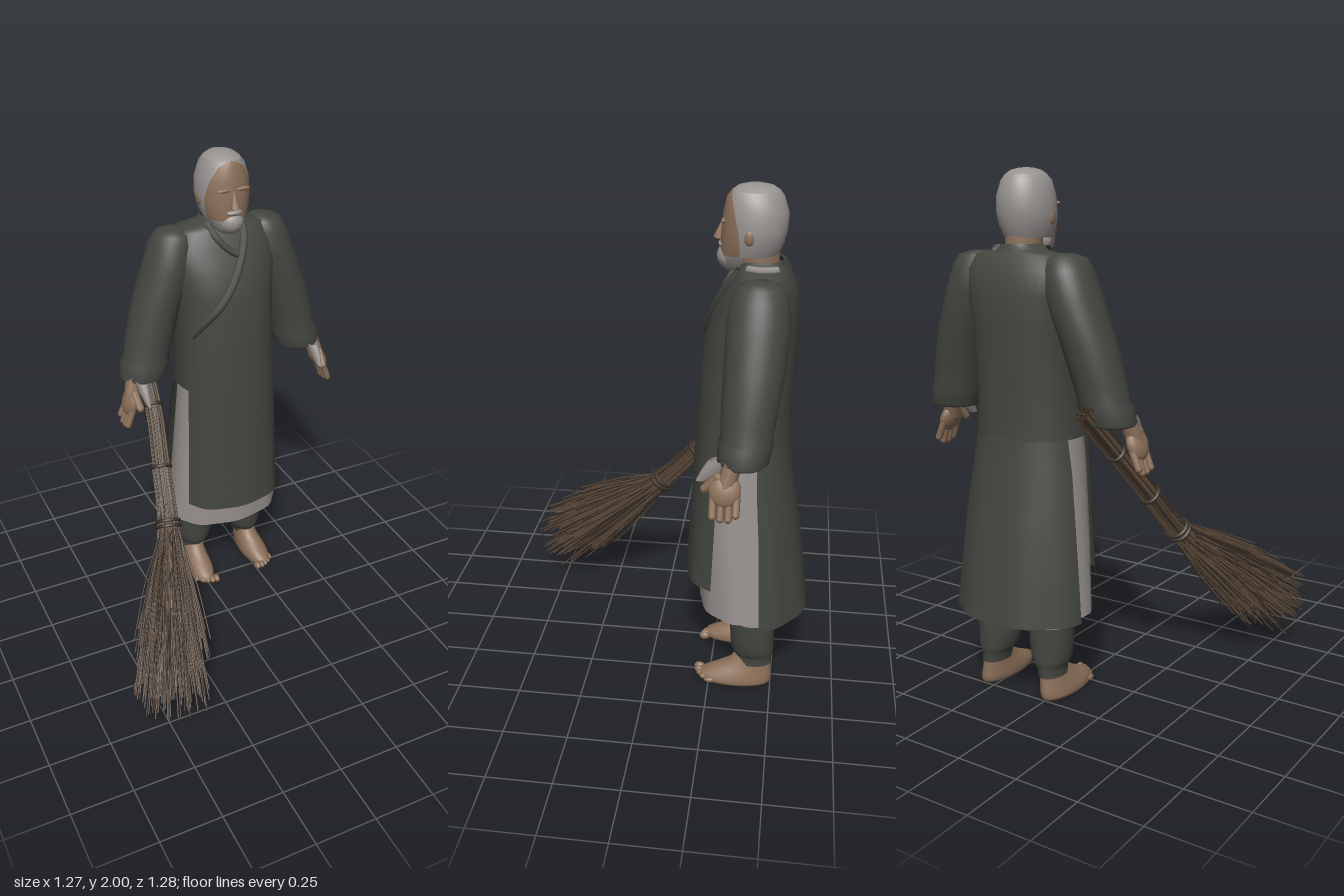
import * as THREE from 'three';
import { mergeGeometries } from 'three/addons/utils/BufferGeometryUtils.js';

const paint = (name, color, side = THREE.FrontSide) =>
  Object.assign(new THREE.MeshStandardMaterial({ color, side }), { name });
const V = (x, y, z) => new THREE.Vector3(x, y, z);

// Horizontal cross-sections, top to bottom: [y, centreX, halfWidth, zFront, zBack].
// from and to are angles in degrees, either one for all rows or one per row.
function loft(rows, { from = 0, to = 360, n = 36, p = 2, ripple = 0, waves = 9 } = {}) {
  const closed = to - from === 360, cols = closed ? n : n + 1, pos = [], idx = [];
  const bend = v => Math.sign(v) * Math.abs(v) ** (2 / p);
  rows.forEach(([y, cx, rx, zf, zb], i) => {
    const a = from[i] ?? from, b = to[i] ?? to;
    for (let j = 0; j < cols; j++) {
      const t = THREE.MathUtils.degToRad(a + (b - a) * j / n);
      const k = 1 + ripple * (i / (rows.length - 1)) ** 2 * Math.sin(waves * t);
      pos.push(cx + rx * k * bend(Math.cos(t)), y, (zf + zb) / 2 + (zf - zb) / 2 * k * bend(Math.sin(t)));
    }
  });
  for (let i = 0; i < rows.length - 1; i++) for (let j = 0; j < n; j++) {
    const a = i * cols + j, b = i * cols + (j + 1) % cols;
    idx.push(a, b, a + cols, b, b + cols, a + cols);
  }
  const g = new THREE.BufferGeometry();
  g.setAttribute('position', new THREE.Float32BufferAttribute(pos, 3));
  g.setIndex(idx);
  g.computeVertexNormals();
  return g;
}

const TORSO = [
  [1.73, 0, 0.07, -0.325, -0.47], [1.705, 0, 0.1, -0.315, -0.48], [1.69, 0, 0.2, -0.305, -0.495],
  [1.64, 0, 0.235, -0.275, -0.525], [1.55, 0, 0.23, -0.23, -0.54], [1.43, 0, 0.21, -0.19, -0.542],
  [1.2, 0, 0.208, -0.175, -0.527], [1.02, 0, 0.215, -0.165, -0.533],
];
// Front of the chest at a given x and y
function chest(x, y) {
  const i = Math.max(1, TORSO.findIndex(r => r[0] <= y)), a = TORSO[i - 1], b = TORSO[i];
  const t = (a[0] - y) / (a[0] - b[0]);
  const [, , rx, zf, zb] = a.map((v, k) => v + (b[k] - v) * t);
  return V(x, y, (zf + zb) / 2 + (zf - zb) / 2 * (1 - Math.min(1, Math.abs(x) / rx) ** 2.3) ** (1 / 2.3));
}

export function createModel() {
  const coat = paint('dark coat cloth', 0x444640, THREE.DoubleSide);
  const robe = paint('pale grey cloth', 0x98928f, THREE.DoubleSide);
  const skin = paint('skin', 0x8c705a);
  const hair = paint('grey hair', 0x979391);
  const straw = paint('brown straw', 0x695341);
  const darkStraw = paint('dark straw', 0x3b3128);

  const model = new THREE.Group(), figure = new THREE.Group();
  model.name = 'sweeper';
  figure.name = 'figure';
  figure.position.x = 0.147;
  model.add(figure);
  const add = (name, geo, mat, parent = figure) => {
    const m = new THREE.Mesh(geo, mat);
    m.name = name;
    parent.add(m);
    return m;
  };
  const ball = (name, mat, at, size) => {
    const m = add(name, new THREE.SphereGeometry(1, 18, 12), mat);
    m.position.set(...at);
    m.scale.set(...size);
    return m;
  };
  const limb = (name, mat, a, b, r) => {
    const d = b.clone().sub(a);
    const m = add(name, new THREE.CapsuleGeometry(r, d.length(), 4, 8), mat);
    m.position.copy(a).add(b).multiplyScalar(0.5);
    m.quaternion.setFromUnitVectors(V(0, 1, 0), d.normalize());
    return m;
  };

  // Head: one skull shape split along a curved hairline
  const skull = [[1.975, 0, 0.072, -0.28, -0.45], [1.955, 0, 0.088, -0.262, -0.465], [1.9, 0, 0.105, -0.25, -0.483],
    [1.84, 0, 0.109, -0.245, -0.481], [1.79, 0, 0.102, -0.242, -0.47], [1.75, 0, 0.086, -0.242, -0.452]];
  const hairline = [78, 52, 37, 26, 20, 18];
  add('crown', loft([[2, 0, 0.001, -0.359, -0.361], [1.998, 0, 0.025, -0.33, -0.395],
    [1.99, 0, 0.052, -0.3, -0.428], skull[0]]), hair);
  add('face', loft(skull, { from: hairline, to: hairline.map(a => 180 - a) }), skin);
  add('backHair', loft(skull, { from: hairline.map(a => 180 - a), to: hairline.map(a => 360 + a) }), hair);
  add('jawBeard', loft([[1.75, 0, 0.086, -0.242, -0.452], [1.715, 0, 0.068, -0.245, -0.42],
    [1.69, 0, 0.04, -0.262, -0.38], [1.685, 0, 0.001, -0.31, -0.312]], { from: 10, to: 170 }), hair);
  add('neck', loft([[1.78, 0, 0.068, -0.31, -0.455], [1.6, 0, 0.065, -0.32, -0.46]]), skin);
  ball('beard', hair, [0, 1.738, -0.285], [0.053, 0.052, 0.056]);
  ball('moustache', hair, [0, 1.782, -0.25], [0.034, 0.012, 0.016]);
  const nose = add('nose', new THREE.ConeGeometry(0.02, 0.075, 10), skin);
  nose.position.set(0, 1.838, -0.243);
  nose.rotation.x = -0.2;
  for (const s of [-1, 1]) {
    ball('ear', skin, [s * 0.102, 1.825, -0.35], [0.011, 0.028, 0.018]);
    ball('brow', skin, [s * 0.04, 1.873, -0.255], [0.032, 0.008, 0.01]);
  }

  // Coat body, split into front and back panels below the hips
  add('coatBody', loft(TORSO, { p: 2.3 }), coat);
  add('frontPanel', loft([[1.03, 0, 0.215, -0.165, -0.533], [0.85, 0, 0.22, -0.158, -0.53],
    [0.6, 0, 0.228, -0.147, -0.53], [0.45, 0, 0.234, -0.14, -0.53]],
  { from: 22, to: 158, p: 2.3, ripple: 0.015 }), coat);
  add('backPanel', loft([[1.03, 0, 0.215, -0.165, -0.533], [0.9, 0, 0.238, -0.155, -0.545],
    [0.7, 0, 0.264, -0.13, -0.58], [0.5, 0, 0.285, -0.1, -0.608], [0.33, 0, 0.3, -0.075, -0.63]],
  { from: 198, to: 342, p: 2.2, ripple: 0.015 }), coat);
  add('innerRobe', loft([[1.12, 0, 0.19, -0.19, -0.51], [0.9, 0, 0.212, -0.185, -0.515],
    [0.6, 0, 0.235, -0.185, -0.54], [0.33, 0, 0.255, -0.195, -0.575]], { p: 2.2, ripple: 0.02 }), robe);
  // Pale lining showing at the left of the neck
  const lining = add('collarLining', new THREE.TorusGeometry(0.086, 0.014, 6, 14, 1.3), robe);
  lining.rotation.set(Math.PI / 2, 0, -0.65);
  lining.position.set(0.012, 1.71, -0.4);

  // Crossing lapels lying on the chest
  const lapel = (name, pts, r) => add(name, new THREE.TubeGeometry(
    new THREE.CatmullRomCurve3(pts.map(([x, y]) => chest(x, y))), 30, r, 8), coat);
  lapel('outerLapel', [[0.07, 1.7], [0.06, 1.65], [0, 1.53], [-0.08, 1.42], [-0.14, 1.35], [-0.185, 1.28]], 0.018);
  lapel('underLapel', [[-0.07, 1.71], [-0.055, 1.67], [-0.01, 1.62], [0.025, 1.6]], 0.015);

  for (const s of [-1, 1]) {
    // Sleeve with a turned cuff and a pale lining in its mouth
    const side = rows => rows.map(([y, x, ...r]) => [y, s * x, ...r]);
    add('sleeve', loft(side([[1.7, 0.195, 0.001, -0.399, -0.401], [1.698, 0.195, 0.04, -0.36, -0.44],
      [1.685, 0.2, 0.072, -0.325, -0.475], [1.645, 0.208, 0.09, -0.3, -0.5],
      [1.55, 0.228, 0.104, -0.285, -0.51], [1.4, 0.285, 0.102, -0.285, -0.5], [1.25, 0.326, 0.1, -0.282, -0.48],
      [1.18, 0.343, 0.095, -0.285, -0.47], [1.165, 0.348, 0.103, -0.277, -0.473], [1.1, 0.364, 0.1, -0.275, -0.462],
      [1.09, 0.366, 0.09, -0.285, -0.452]])), coat);
    add('sleeveLining', loft(side([[1.09, 0.366, 0.09, -0.285, -0.452], [1.115, 0.37, 0.001, -0.36, -0.361]])), robe);
    add('innerCuff', loft(side([[1.11, 0.4, 0.026, -0.25, -0.34], [1.07, 0.402, 0.02, -0.225, -0.31],
      [1.025, 0.4, 0.008, -0.205, -0.245]]), { n: 16 }), robe);

    // Hand
    const wrist = V(s * 0.415, 1.12, -0.34), palm = V(s * 0.437, 1.03, -0.315);
    limb('wrist', skin, wrist, palm, 0.034);
    const p = ball('palm', skin, [s * 0.445, 1.015, -0.312], [0.029, 0.062, 0.058]);
    p.rotation.z = s * 0.35;
    [-0.272, -0.3, -0.328, -0.354].forEach((z, i) => {
      const tip = [0.925, 0.917, 0.917, 0.935][i];
      limb('finger', skin, V(s * 0.45, 0.995, z), V(s * 0.476, tip, z), 0.0145);
    });
    limb('thumb', skin, V(s * 0.435, 1.06, -0.285), V(s * 0.43, 1.01, -0.24), 0.016);

    // Gathered trousers and bare foot
    const leg = (name, mat, rows) => add(name, loft(rows.map(([y, ...r]) => [y, s * (0.126 + Math.max(0, 0.2 - y) * 0.11), ...r]),
      { n: 24 }), mat);
    leg('trouserTop', robe, [[0.6, 0.095, -0.3, -0.51], [0.295, 0.09, -0.325, -0.505]]);
    leg('trouserLeg', coat, [[0.295, 0.09, -0.325, -0.505], [0.22, 0.086, -0.33, -0.505], [0.16, 0.076, -0.335, -0.508],
      [0.135, 0.06, -0.345, -0.505], [0.12, 0.05, -0.355, -0.5], [0.09, 0.05, -0.355, -0.5]]);
    leg('foot', skin, [[0.13, 0.044, -0.36, -0.495], [0.09, 0.047, -0.33, -0.498], [0.06, 0.053, -0.27, -0.5],
      [0.035, 0.06, -0.215, -0.503], [0.012, 0.062, -0.205, -0.503], [0, 0.057, -0.21, -0.495], [0, 0.001, -0.35, -0.352]]);
    for (let i = 0; i < 5; i++) {
      const r = 0.017 - i * 0.0015;
      ball('toe', skin, [s * (0.108 + i * 0.021), r, -0.207 - i * i * 0.003], [r * 0.85, r, 0.022]);
    }
  }

  // Broom: bound stalks that fan out into loose straw
  const broom = new THREE.Group();
  broom.name = 'broom';
  model.add(broom);
  const spine = [V(-0.18, 1.15, -0.49), V(-0.205, 0.95, -0.29), V(-0.245, 0.77, -0.13), V(-0.285, 0.59, 0.03)];
  const dir = V(-0.2, -0.41, 0.48).normalize();
  const across = V(0, 1, 0).cross(dir).normalize(), up = dir.clone().cross(across);
  let seed = 11;
  const rnd = () => (seed = (seed * 16807) % 2147483647) / 2147483647;
  const strands = [[], []];
  for (let i = 0; i < 420; i++) {
    const a = rnd() * Math.PI * 2, q = Math.sqrt(rnd());
    const off = across.clone().multiplyScalar(Math.cos(a) * q).addScaledVector(up, Math.sin(a) * q);
    const len = 0.42 + 0.35 * rnd() * (1.1 - 0.25 * q);
    const base = spine[3], wob = V(rnd() - 0.5, rnd() - 0.5, rnd() - 0.5).multiplyScalar(0.05);
    const pts = i % 3 ? [] : spine.slice(0, 2).map(v => v.clone().addScaledVector(off, 0.036));
    pts.push(spine[2].clone().addScaledVector(off, 0.038), base.clone().addScaledVector(off, 0.044),
      base.clone().addScaledVector(dir, len * 0.5).addScaledVector(off, 0.09).add(wob),
      base.clone().addScaledVector(dir, len).addScaledVector(off, 0.15).addScaledVector(wob, 0.8));
    const segs = pts.length * 2;
    strands[i % 5 < 3 ? 0 : 1].push(new THREE.TubeGeometry(new THREE.CatmullRomCurve3(pts), segs, 0.003, 3));
  }
  add('brownStraw', mergeGeometries(strands[0]), straw, broom);
  add('darkStraw', mergeGeometries(strands[1]), darkStraw, broom);
  add('stalkCore', new THREE.TubeGeometry(new THREE.CatmullRomCurve3(spine), 20, 0.031, 10), straw, broom);
  const core = add('fanCore', new THREE.CylinderGeometry(0.068, 0.033, 0.36, 12), straw, broom);
  core.position.copy(spine[3]).addScaledVector(dir, 0.17);
  core.quaternion.setFromUnitVectors(V(0, 1, 0), dir);
  const path = new THREE.CatmullRomCurve3(spine);
  for (const [t, r] of [[0.3, 0.035], [0.66, 0.039], [0.97, 0.045], [1, 0.047]]) {
    const ring = add('binding', new THREE.TorusGeometry(r, 0.008, 6, 20), darkStraw, broom);
    ring.position.copy(path.getPoint(t));
    ring.quaternion.setFromUnitVectors(V(0, 0, 1), path.getTangent(t));
  }
  return model;
}
